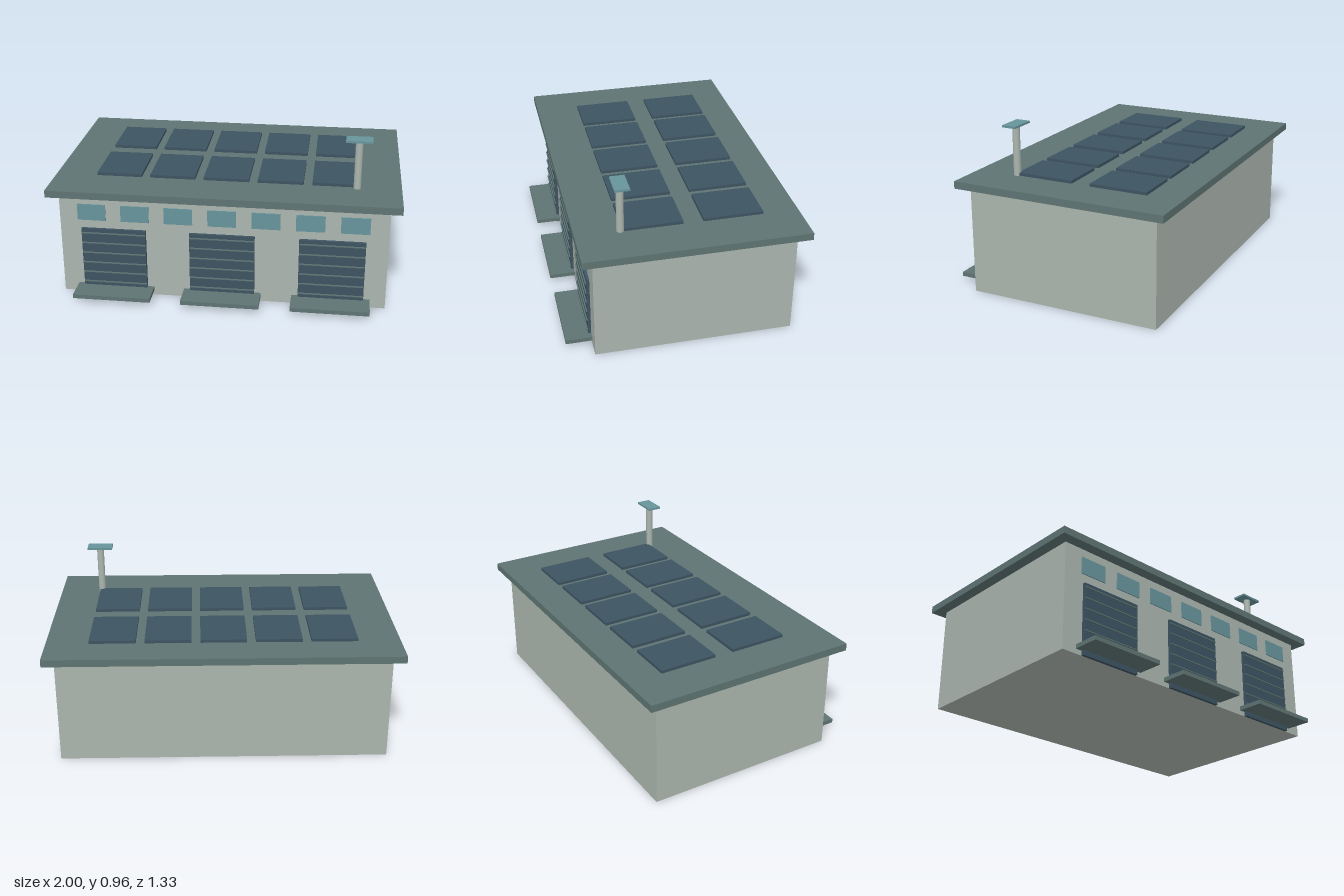
import * as THREE from 'three';

export function createModel() {
  const model = new THREE.Group();
  const material = (name, color) => {
    const m = new THREE.MeshStandardMaterial({ color });
    m.name = name;
    return m;
  };
  const wall = material('pale grey wall', 0xabb5ae);
  const slate = material('slate green', 0x5e7472);
  const navy = material('dark blue', 0x3c5361);
  const glass = material('teal glass', 0x66949b);

  // Box given by its extents on each axis
  const box = (name, mat, [x0, x1], [y0, y1], [z0, z1]) => {
    const mesh = new THREE.Mesh(new THREE.BoxGeometry(x1 - x0, y1 - y0, z1 - z0), mat);
    mesh.position.set((x0 + x1) / 2, (y0 + y1) / 2, (z0 + z1) / 2);
    mesh.name = name;
    model.add(mesh);
  };
  const around = (c, size) => [c - size / 2, c + size / 2];
  const front = 0.518;

  // Main hall and overhanging flat roof
  box('hall', wall, [-0.938, 0.938], [0, 0.619], [-0.604, front]);
  box('roof', slate, [-1, 1], [0.619, 0.661], [-0.667, 0.581]);

  // Loading bays: shutter door, slats and dock platform
  for (const x of [-0.626, 0, 0.626]) {
    box('shutterDoor', navy, around(x, 0.374), [0, 0.415], [front, 0.535]);
    for (let i = 0; i < 6; i++) {
      box('shutterSlat', slate, around(x, 0.37), around(0.077 + i * 0.0625, 0.006), [0.53, 0.542]);
    }
    box('dockPlatform', slate, around(x, 0.449), [0.028, 0.052], [front, 0.667]);
  }

  // High window strip, set just off the wall
  for (let i = -3; i <= 3; i++) {
    box('window', glass, around(i * 0.25, 0.163), [0.467, 0.565], [0.524, 0.53]);
  }

  // Two rows of roof panels
  for (const z of [-0.295, 0.154]) {
    for (let i = -2; i <= 2; i++) {
      box('roofPanel', navy, around(i * 0.313, 0.263), [0.661, 0.678], around(z, 0.337));
    }
  }

  // Vent pipe with a rectangular cap
  const pipe = new THREE.Mesh(new THREE.CylinderGeometry(0.021, 0.021, 0.286, 16), wall);
  pipe.position.set(0.748, 0.804, 0.332);
  pipe.name = 'ventPipe';
  model.add(pipe);
  box('ventCap', glass, around(0.748, 0.15), [0.946, 0.958], around(0.331, 0.083));

  return model;
}
